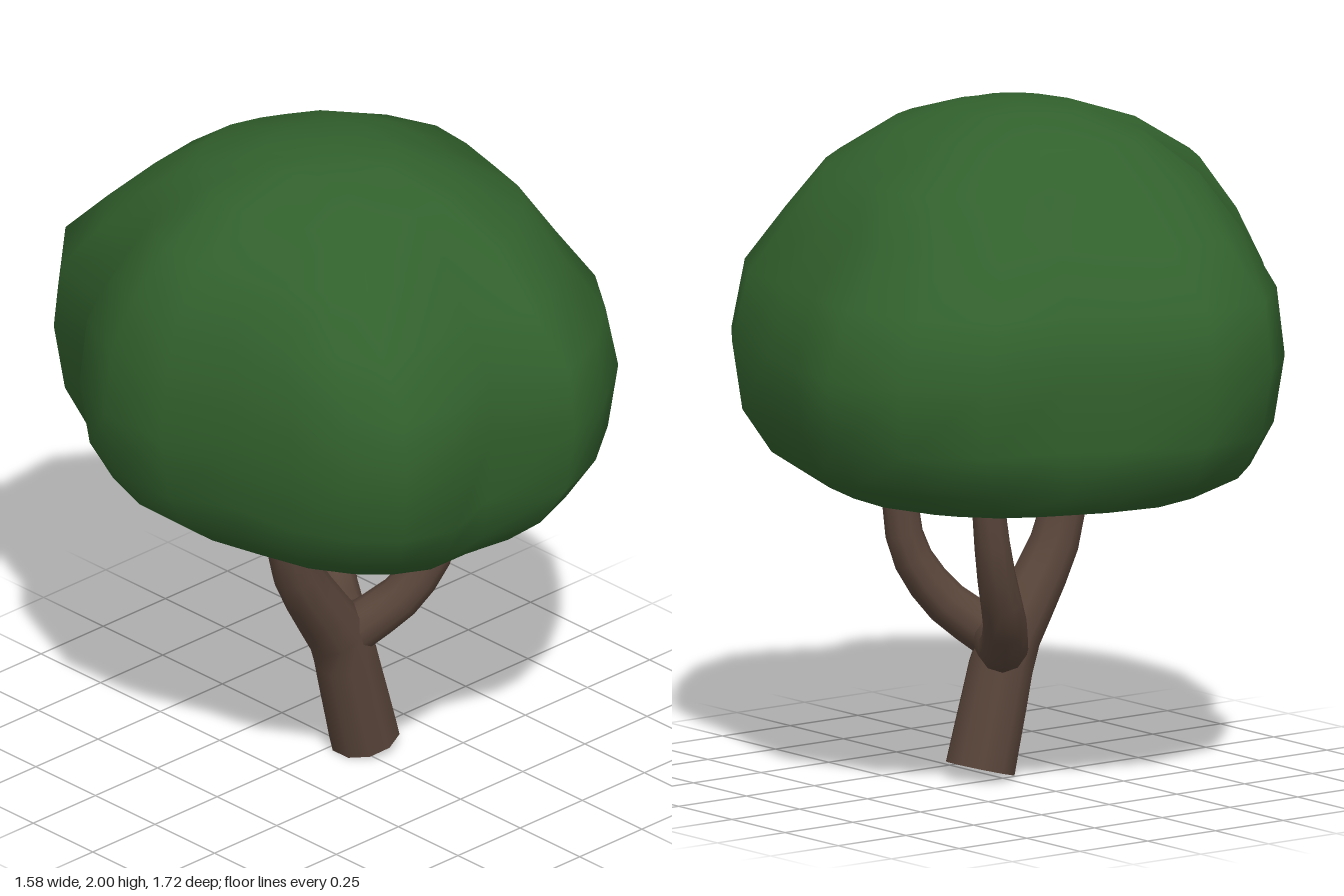
import * as THREE from 'three';

const bark = new THREE.MeshStandardMaterial({ color: 0x59453a });
const leaf = new THREE.MeshStandardMaterial({ color: 0x32612d });

// Tapered limb along a smooth path; each path entry is [x, y, z, radius].
function limb(name, path, segments = 8, sides = 10) {
  const curve = new THREE.CatmullRomCurve3(path.map(([x, y, z]) => new THREE.Vector3(x, y, z)));
  const radii = new THREE.CatmullRomCurve3(path.map((p, i) => new THREE.Vector3(i, p[3], 0)));
  const geo = new THREE.TubeGeometry(curve, segments, 1, sides);
  const pos = geo.attributes.position, v = new THREE.Vector3();
  for (let i = 0; i <= segments; i++) {
    const t = i / segments, c = curve.getPointAt(t);
    const r = radii.getPoint(curve.getUtoTmapping(t)).y;
    for (let j = 0; j <= sides; j++) {
      const k = i * (sides + 1) + j;
      v.fromBufferAttribute(pos, k).sub(c).multiplyScalar(r).add(c);
      pos.setXYZ(k, v.x, v.y, v.z);
    }
  }
  const group = new THREE.Group();
  group.name = name;
  group.add(new THREE.Mesh(geo, bark));
  // End caps
  for (const [t, dir, r] of [[0, -1, path[0][3]], [1, 1, path.at(-1)[3]]]) {
    const cap = new THREE.Mesh(new THREE.CircleGeometry(r, sides), bark);
    const c = curve.getPointAt(t);
    cap.position.copy(c);
    cap.lookAt(c.clone().addScaledVector(curve.getTangentAt(t), dir));
    group.add(cap);
  }
  group.children.forEach((m) => { m.name = name + 'Part'; });
  return group;
}

// Lobed plan of the crown, [x, z], clockwise from the back as seen from above.
const plan = [
  [-0.1, -0.865], [0.12, -0.75], [0.29, -0.66], [0.53, -0.59], [0.71, -0.42], [0.79, -0.18],
  [0.74, 0.04], [0.67, 0.25], [0.63, 0.47], [0.5, 0.64], [0.32, 0.775], [0.12, 0.855],
  [-0.1, 0.735], [-0.31, 0.815], [-0.47, 0.76], [-0.58, 0.65], [-0.67, 0.48], [-0.69, 0.25],
  [-0.785, 0.06], [-0.79, -0.17], [-0.71, -0.36], [-0.56, -0.46], [-0.515, -0.67], [-0.335, -0.84],
];

// Crown levels: y, reach to -x, +x, -z, +z
const levels = [
  [0.845, -0.36, 0.32, -0.36, 0.38],
  [0.89, -0.56, 0.5, -0.58, 0.64],
  [0.97, -0.67, 0.64, -0.75, 0.74],
  [1.1, -0.76, 0.755, -0.83, 0.83],
  [1.3, -0.795, 0.79, -0.865, 0.86],
  [1.5, -0.78, 0.71, -0.855, 0.84],
  [1.66, -0.735, 0.58, -0.7, 0.71],
  [1.81, -0.63, 0.47, -0.53, 0.57],
  [1.92, -0.45, 0.25, -0.37, 0.42],
  [1.98, -0.27, 0.1, -0.16, 0.23],
];

function crown() {
  const { smoothstep } = THREE.MathUtils;
  const n = plan.length, cx = -0.08, cz = 0.03;
  const points = [], index = [];
  levels.forEach(([y, x0, x1, z0, z1]) => {
    const high = smoothstep(y, 1.3, 1.7), low = 1 - smoothstep(y, 0.84, 1.15);
    const shelf = smoothstep(y, 1.45, 1.66) * (1 - smoothstep(y, 1.66, 1.8));
    const round = 0.6 * smoothstep(y, 1.6, 2) + 0.7 * low;
    for (const [px, pz] of plan) {
      let u = px - cx, w = pz - cz;
      u /= u < 0 ? 0.715 : 0.87;
      w /= w < 0 ? 0.895 : 0.83;
      const h = Math.hypot(u, w);
      // Lobes fade toward top and bottom; the back left lobe forms a low shoulder
      const front = (u + w) / (Math.SQRT2 * h), back = (u - w) / (Math.SQRT2 * h);
      const shoulder = Math.max(back, 0) ** 3;
      const k = (1 - round + round * 1.04 / h)
        * (1 + 0.03 * high * front + (0.09 * low - 0.08 * shelf) * shoulder);
      u *= k;
      w *= k;
      points.push(cx + u * (u < 0 ? cx - x0 : x1 - cx), y, cz + w * (w < 0 ? cz - z0 : z1 - cz));
    }
  });
  const bottom = levels.length * n, top = bottom + 1, last = bottom - n;
  points.push(cx, 0.835, cz, -0.09, 2, 0.05);
  for (let j = 0; j < n; j++) {
    const k = (j + 1) % n;
    index.push(bottom, j, k, top, last + k, last + j);
    for (let i = 0; i < levels.length - 1; i++) {
      const a = i * n + j, b = i * n + k;
      index.push(a, a + n, b, b, a + n, b + n);
    }
  }
  const geo = new THREE.BufferGeometry();
  geo.setAttribute('position', new THREE.Float32BufferAttribute(points, 3));
  geo.setIndex(index);
  geo.computeVertexNormals();
  const mesh = new THREE.Mesh(geo, leaf);
  mesh.name = 'crown';
  return mesh;
}

export function createModel() {
  const tree = new THREE.Group();
  tree.name = 'tree';
  tree.add(
    // Leaning trunk running on into the right limb
    limb('trunk', [
      [0.04, 0.03, 0.055, 0.105], [-0.01, 0.22, 0.055, 0.1], [-0.06, 0.39, 0.055, 0.094],
      [-0.145, 0.52, 0.055, 0.084], [-0.235, 0.67, 0.055, 0.074], [-0.28, 0.84, 0.055, 0.064],
      [-0.29, 0.96, 0.055, 0.058],
    ], 10),
    limb('frontBranch', [
      [-0.025, 0.415, 0.08, 0.072], [0.09, 0.52, 0.165, 0.065],
      [0.175, 0.67, 0.22, 0.057], [0.195, 0.84, 0.238, 0.052], [0.2, 0.96, 0.24, 0.05],
    ]),
    limb('backBranch', [
      [-0.01, 0.41, 0.03, 0.076], [0.06, 0.41, -0.08, 0.073], [0.14, 0.5, -0.19, 0.066],
      [0.215, 0.66, -0.245, 0.058], [0.253, 0.84, -0.26, 0.051], [0.26, 0.96, -0.26, 0.048],
    ]),
    crown(),
  );
  return tree;
}
